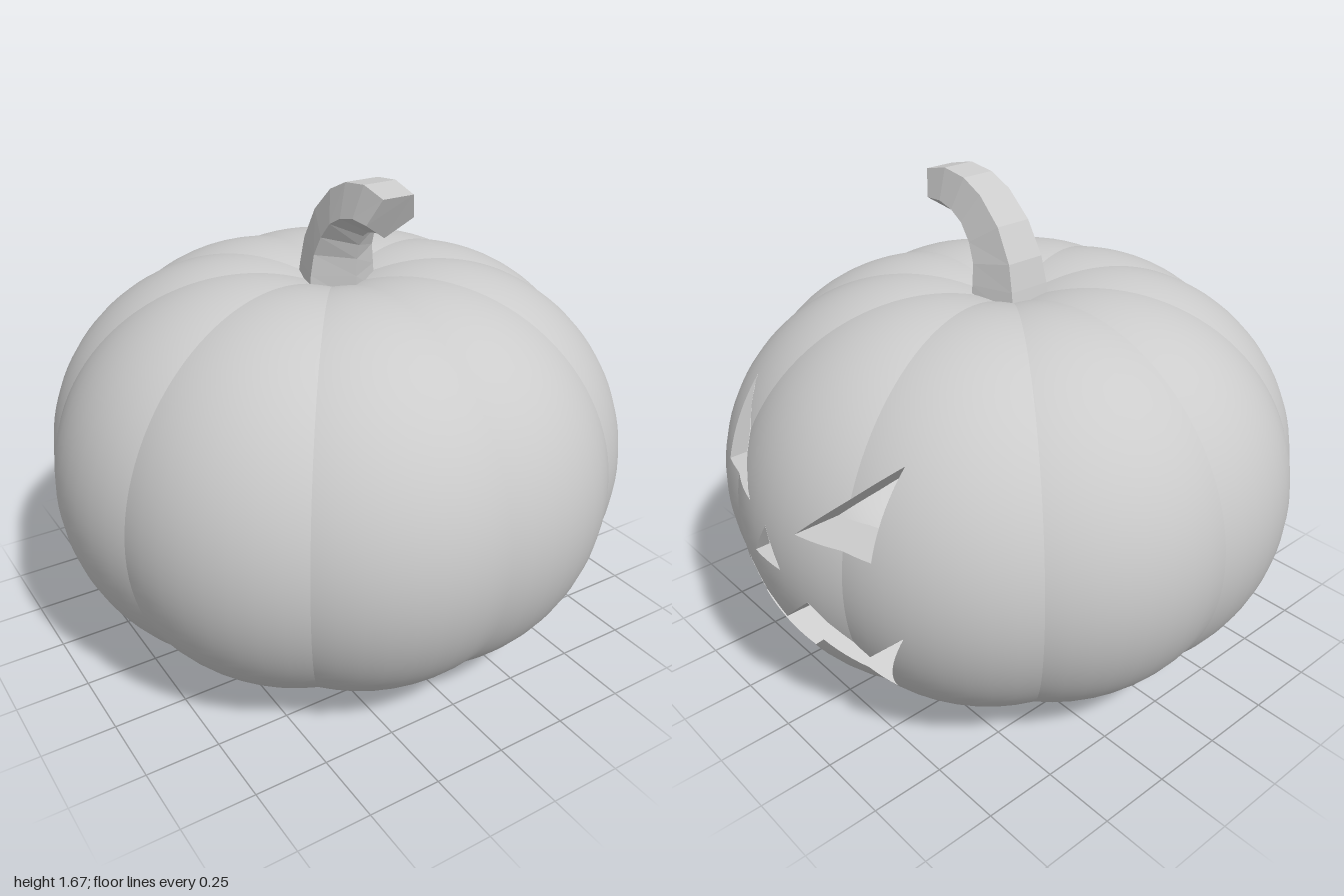
import * as THREE from 'three';

const LOBES = 10, R = 0.667, D = 0.333, MID = 0.667; // ten overlapping spheres in a ring
const WALL = 0.85;                                    // inner hollow as a fraction of the skin
const LID = 40 * Math.PI / 180;                       // polar angle of the lid seam

// Carved openings, as [z, y] outlines on the +x side
const eye = s => [[0.4 * s, 1.08], [0.4 * s, 0.815], [0.13 * s, 0.815]];
const nose = [[0.01, 0.785], [0.08, 0.665], [-0.065, 0.665]];
const mz = [0.5, 0.34, 0.17, 0, -0.17, -0.34, -0.5];
const top = mz.map((z, i) => [z, i % 2 ? 0.43 : 0.59]);
const bottom = mz.map((z, i) => [z, i % 6 === 0 ? 0.59 : i % 2 ? 0.26 : 0.425]);
const mouth = [...top, ...bottom.slice(1, 6).reverse()];
const openings = { leftEyeCut: eye(-1), rightEyeCut: eye(1), noseCut: nose, mouthCut: mouth };

// The same openings as convex pieces, used for cutting
const pieces = [eye(1), eye(-1), nose];
for (let i = 0; i < 6; i++) {
  const p = [top[i], top[i + 1], bottom[i + 1], bottom[i]];
  pieces.push(i === 0 ? p.slice(0, 3) : i === 5 ? [p[0], p[1], p[3]] : p);
}

// Removes a convex opening from a convex polygon, leaving convex remains
function subtract(poly, hole) {
  const cz = hole.reduce((s, p) => s + p[0], 0) / hole.length;
  const cy = hole.reduce((s, p) => s + p[1], 0) / hole.length;
  const out = [];
  let rest = poly;
  for (let i = 0; i < hole.length; i++) {
    const [az, ay] = hole[i], [bz, by] = hole[(i + 1) % hole.length];
    const side = (z, y) => (bz - az) * (y - ay) - (by - ay) * (z - az);
    const sign = Math.sign(side(cz, cy));
    const inside = [], outside = [];
    rest.forEach((p, j) => {
      const q = rest[(j + 1) % rest.length];
      const a = sign * side(p.z, p.y), b = sign * side(q.z, q.y);
      (a >= 0 ? inside : outside).push(p);
      if ((a >= 0) !== (b >= 0)) {
        const m = p.clone().lerp(q, a / (a - b));
        inside.push(m);
        outside.push(m);
      }
    });
    if (outside.length > 2) out.push(outside);
    if (inside.length < 3) return [poly];
    rest = inside;
  }
  return out;
}

// Lobed skin between two polar angles; an inner skin faces inwards
function skin(phi0, phi1, rows, scale, inner) {
  const pos = [], nor = [], cols = 8, half = Math.PI / LOBES;
  for (let k = 0; k < LOBES; k++) {
    const mid = 2 * half * k;
    const centre = new THREE.Vector3(D * scale * Math.cos(mid), MID, D * scale * Math.sin(mid));
    const point = (i, j) => {
      const phi = phi0 + (phi1 - phi0) * i / rows, th = half * (2 * j / cols - 1);
      const b = D * Math.sin(phi) * Math.cos(th);
      const t = scale * (b + Math.sqrt(b * b + R * R - D * D));
      const r = t * Math.sin(phi);
      return new THREE.Vector3(r * Math.cos(mid + th), MID + t * Math.cos(phi), r * Math.sin(mid + th));
    };
    const add = p => {
      const n = p.clone().sub(centre).normalize().multiplyScalar(inner ? -1 : 1);
      pos.push(p.x, p.y, p.z);
      nor.push(n.x, n.y, n.z);
    };
    for (let i = 0; i < rows; i++) for (let j = 0; j < cols; j++) {
      const a = point(i, j), b = point(i, j + 1), c = point(i + 1, j + 1), d = point(i + 1, j);
      for (const tri of [[a, b, c], [a, c, d]]) {
        let polys = [tri];
        if (tri.every(p => p.x > 0.3)) {
          for (const hole of pieces) polys = polys.flatMap(p => subtract(p, hole));
        }
        for (const p of polys) for (let m = 1; m < p.length - 1; m++) {
          (inner ? [p[0], p[m + 1], p[m]] : [p[0], p[m], p[m + 1]]).forEach(add);
        }
      }
    }
  }
  const g = new THREE.BufferGeometry();
  g.setAttribute('position', new THREE.Float32BufferAttribute(pos, 3));
  g.setAttribute('normal', new THREE.Float32BufferAttribute(nor, 3));
  return g;
}

// x of the skin at a given z and y on the carved side
function skinX(z, y, scale) {
  let best = 0;
  for (let k = -2; k <= 2; k++) {
    const a = 2 * Math.PI * k / LOBES;
    const h = R * R - ((y - MID) / scale) ** 2 - (z / scale - D * Math.sin(a)) ** 2;
    if (h > 0) best = Math.max(best, scale * (D * Math.cos(a) + Math.sqrt(h)));
  }
  return best;
}

// Cut walls running from the outer skin to the hollow
function cutWalls(outline) {
  const pos = [], n = 10;
  outline.forEach(([az, ay], i) => {
    const [bz, by] = outline[(i + 1) % outline.length];
    const at = (t, s) => {
      const z = az + (bz - az) * t, y = ay + (by - ay) * t;
      return [skinX(z, y, s), y, z];
    };
    for (let j = 0; j < n; j++) {
      const a = at(j / n, 1), b = at((j + 1) / n, 1), c = at((j + 1) / n, WALL), d = at(j / n, WALL);
      pos.push(...a, ...b, ...c, ...a, ...c, ...d);
    }
  });
  const g = new THREE.BufferGeometry();
  g.setAttribute('position', new THREE.Float32BufferAttribute(pos, 3));
  g.computeVertexNormals();
  return g;
}

// Curved five-sided stem: [z, y] of the back, side and inner edges, then half width
function stemGeometry() {
  const rings = [
    [-0.11, 1.24, 0.05, 1.24, 0.135, 1.24, 0.13],
    [-0.095, 1.33, 0.05, 1.33, 0.135, 1.33, 0.122],
    [-0.075, 1.42, 0.055, 1.40, 0.137, 1.39, 0.113],
    [-0.015, 1.53, 0.085, 1.465, 0.15, 1.44, 0.105],
    [0.075, 1.615, 0.13, 1.52, 0.17, 1.475, 0.1],
    [0.16, 1.655, 0.185, 1.55, 0.2, 1.495, 0.096],
    [0.26, 1.668, 0.25, 1.565, 0.245, 1.505, 0.092],
    [0.36, 1.645, 0.32, 1.56, 0.29, 1.5, 0.088],
  ].map(([zo, yo, zs, ys, zi, yi, w]) => [
    [0.63 * w, yo, zo], [w, ys, zs], [0, yi, zi], [-w, ys, zs], [-0.63 * w, yo, zo],
  ]);
  const pos = [];
  for (let i = 0; i < rings.length - 1; i++) for (let j = 0; j < 5; j++) {
    const k = (j + 1) % 5, a = rings[i][j], b = rings[i][k], c = rings[i + 1][k], d = rings[i + 1][j];
    pos.push(...a, ...d, ...c, ...a, ...c, ...b);
  }
  const tip = rings[rings.length - 1];
  for (let j = 1; j < 4; j++) pos.push(...tip[0], ...tip[j + 1], ...tip[j]);
  const g = new THREE.BufferGeometry();
  g.setAttribute('position', new THREE.Float32BufferAttribute(pos, 3));
  g.computeVertexNormals();
  return g;
}

export function createModel() {
  const group = new THREE.Group();
  const smooth = new THREE.MeshStandardMaterial({ color: 0xcccccc });
  const flat = new THREE.MeshStandardMaterial({ color: 0xcccccc, flatShading: true });
  const cut = new THREE.MeshStandardMaterial({ color: 0xcccccc, flatShading: true, side: THREE.DoubleSide });
  const add = (name, geometry, material) => {
    const mesh = new THREE.Mesh(geometry, material);
    mesh.name = name;
    group.add(mesh);
  };
  add('pumpkinBody', skin(LID, Math.PI, 56, 1, false), smooth);
  add('lid', skin(0, LID, 16, 1, false), smooth);
  add('hollowInside', skin(0, Math.PI, 56, WALL, true), smooth);
  for (const [name, outline] of Object.entries(openings)) add(name, cutWalls(outline), cut);
  add('stem', stemGeometry(), flat);
  return group;
}
